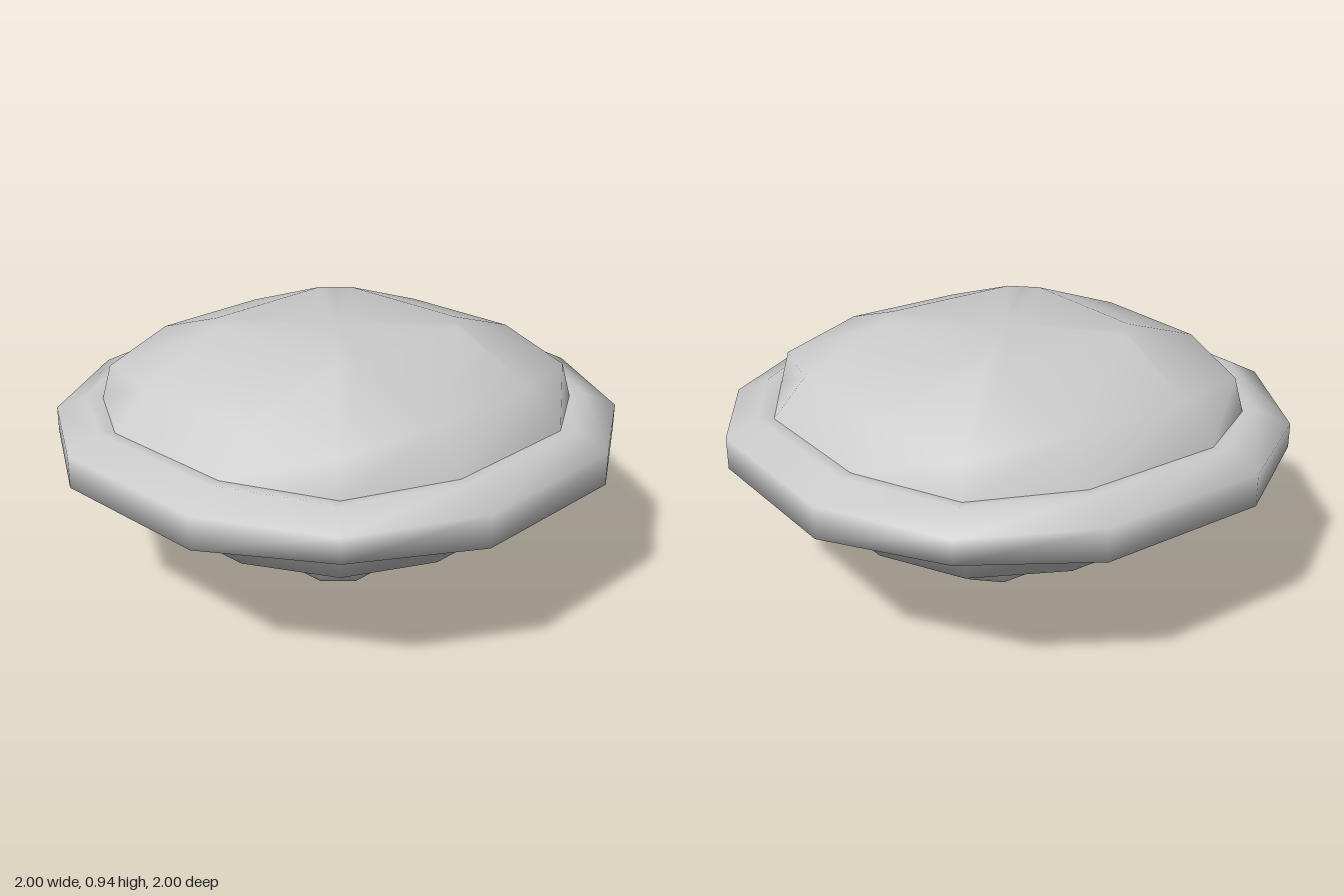
import * as THREE from 'three';

const MID = 0.56; // height of the rim's centre line

// One twelve-point loop: half = half width of each straight side, face = its
// distance from the axis, corner = diagonal point, yFace / yCorner = heights.
function loop([half, face, corner, yFace, yCorner]) {
  const points = [];
  for (let q = 0; q < 4; q++) {
    for (const [x0, z0, y] of [[-half, face, yFace], [half, face, yFace], [corner, corner, yCorner]]) {
      let x = x0, z = z0;
      for (let i = 0; i < q; i++) [x, z] = [z, -x];
      points.push([x, y, z]);
    }
  }
  return points;
}

// Smooth skin through loops listed from bottom to top, with optional flat caps.
function skin(name, material, levels, { capBottom = false, capTop = false } = {}) {
  const n = 12;
  const positions = levels.flatMap(loop).flat();
  const index = [];
  for (let i = 0; i < levels.length - 1; i++) {
    for (let j = 0; j < n; j++) {
      const k = (j + 1) % n;
      const a = i * n + j, b = i * n + k, c = b + n, d = a + n;
      index.push(a, b, c, a, c, d);
    }
  }
  const cap = (row, up) => {
    const centre = positions.length / 3;
    positions.push(0, levels[row][3], 0);
    for (let j = 0; j < n; j++) {
      const a = row * n + j, b = row * n + (j + 1) % n;
      index.push(centre, up ? a : b, up ? b : a);
    }
  };
  if (capBottom) cap(0, false);
  if (capTop) cap(levels.length - 1, true);

  const geometry = new THREE.BufferGeometry();
  geometry.setAttribute('position', new THREE.Float32BufferAttribute(positions, 3));
  geometry.setIndex(index);
  geometry.computeVertexNormals();
  const mesh = new THREE.Mesh(geometry, material);
  mesh.name = name;
  return mesh;
}

export function createModel() {
  const group = new THREE.Group();
  group.name = 'saucer';
  const material = new THREE.MeshStandardMaterial({ color: 0xcccccc });

  // Half profiles, with heights measured from the rim's centre line
  const hull = [
    [0.275, 0.83, 0.625, 0.11, 0.085],
    [0.24, 0.715, 0.6, 0.255, 0.215],
    [0.27, 0.36, 0.315, 0.38, 0.38],
  ];
  const rim = [
    [0.325, 1, 0.75, 0.06, 0.046],
    [0.295, 0.885, 0.665, 0.12, 0.095],
    [0.275, 0.83, 0.625, 0.11, 0.085],
  ];
  const above = (profile) => profile.map(([h, f, c, yf, yc]) => [h, f, c, MID + yf, MID + yc]);
  const below = (profile) => profile.map(([h, f, c, yf, yc]) => [h, f, c, MID - yf, MID - yc]).reverse();

  // Domed top and mirrored underside
  group.add(skin('upperHull', material, above(hull), { capTop: true }));
  group.add(skin('lowerHull', material, below(hull), { capBottom: true }));

  // Raised band around the widest part
  group.add(skin('rim', material, [...below(rim), ...above(rim)]));

  // Tapered pod under the hull
  group.add(skin('bottomPod', material, [
    [0.12, 0.16, 0.14, 0, 0],
    [0.27, 0.36, 0.315, 0.1, 0.1],
    [0.27, 0.36, 0.315, 0.18, 0.18],
  ], { capBottom: true }));

  return group;
}
